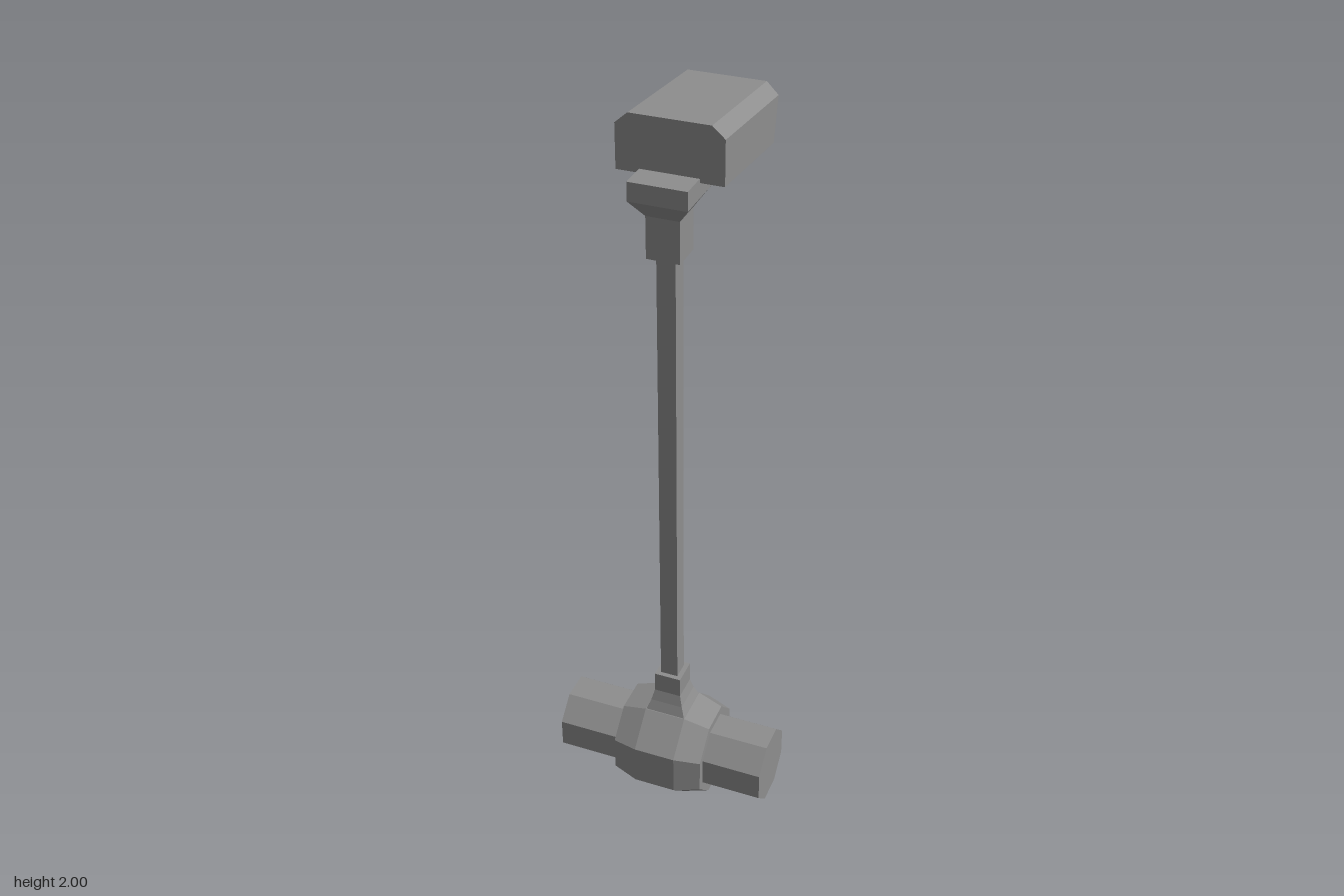
import * as THREE from 'three';

const grey = new THREE.MeshStandardMaterial({ color: 0x8e8e8e });
grey.name = 'grey metal';

// Faceted mesh with hard edges
function facet(name, geometry) {
  const flat = geometry.index ? geometry.toNonIndexed() : geometry;
  flat.computeVertexNormals();
  const mesh = new THREE.Mesh(flat, grey);
  mesh.name = name;
  return mesh;
}

// Prism with regular sides; the profile lists [half width across flats, height]
function prism(sides, profile) {
  const k = 1 / Math.cos(Math.PI / sides);
  const points = profile.map(([r, y]) => new THREE.Vector2(r * k, y));
  points.unshift(new THREE.Vector2(0, profile[0][1]));
  points.push(new THREE.Vector2(0, profile[profile.length - 1][1]));
  return new THREE.LatheGeometry(points, sides, Math.PI / sides);
}

export function createModel() {
  const group = new THREE.Group();
  const axisZ = 0.112, pipeY = 0.142;

  // Horizontal octagonal pipe and the bulging valve body around it
  const pipe = facet('pipe', prism(8, [[0.097, -0.297], [0.097, 0.294]]).rotateZ(-Math.PI / 2));
  const body = facet('valveBody',
    prism(8, [[0.118, -0.127], [0.139, -0.057], [0.139, 0.057], [0.118, 0.127]]).rotateZ(-Math.PI / 2));
  for (const part of [pipe, body]) part.position.set(0.002, pipeY, axisZ);
  pipe.position.x = 0;

  // Square upright parts: flared neck, long stem, widening top socket
  const neck = facet('neck', prism(4, [[0.06, 0.26], [0.056, 0.28], [0.045, 0.31], [0.037, 0.342], [0.037, 0.4]]));
  const stem = facet('stem', prism(4, [[0.024, 0.39], [0.024, 1.68]]));
  const socket = facet('socket', prism(4, [[0.042, 1.67], [0.042, 1.778], [0.073, 1.822], [0.073, 1.87]]));
  for (const part of [neck, stem, socket]) part.position.set(0.002, 0, axisZ);

  // Chamfered handle block, sloping down towards the back
  const outline = new THREE.Shape([
    [-0.132, 1.86], [0.132, 1.86], [0.132, 1.972], [0.1, 2], [-0.1, 2], [-0.132, 1.972],
  ].map(([x, y]) => new THREE.Vector2(x, y)));
  const block = new THREE.ExtrudeGeometry(outline, { depth: 1, bevelEnabled: false });
  const p = block.attributes.position;
  for (let i = 0; i < p.count; i++) {
    const y = p.getY(i);
    const back = -0.253 + (2 - y) * 0.22;
    const z = THREE.MathUtils.lerp(back, axisZ, p.getZ(i));
    p.setXYZ(i, p.getX(i) + 0.003, y - (axisZ - z) * 0.091, z);
  }
  const handle = facet('handle', block);

  group.add(pipe, body, neck, stem, socket, handle);
  return group;
}
